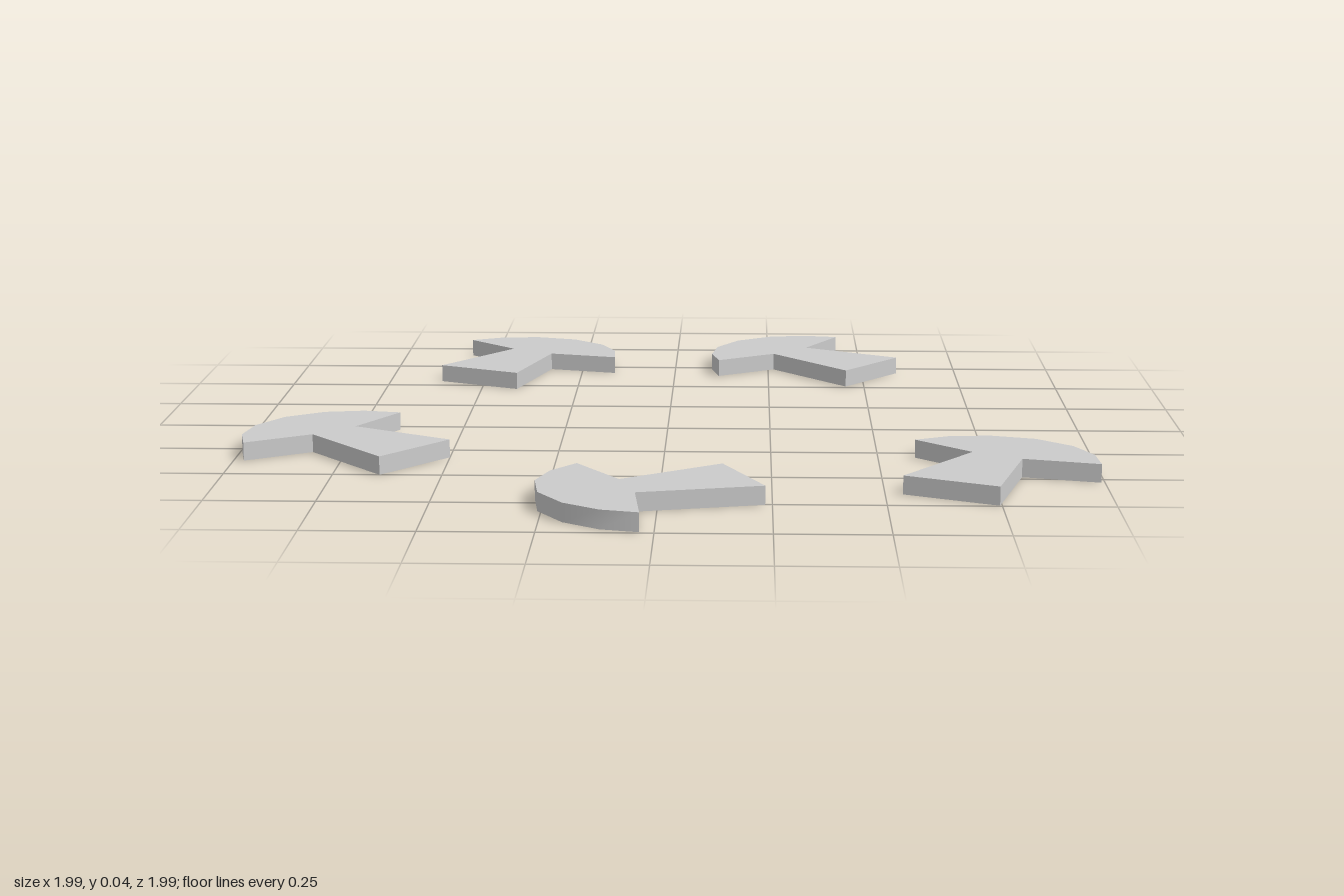
import * as THREE from 'three';
import { mergeGeometries, toCreasedNormals } from 'three/addons/utils/BufferGeometryUtils.js';

const HEIGHT = 0.043;

// mushroom outline, counter-clockwise, origin midway between the cap tips
const OUTLINE = [
  [-0.097, -0.331], [0.129, -0.311],              // stem foot
  [0.06, -0.046], [0.234, 0],                     // right neck and cap tip
  [0.184, 0.077], [0.107, 0.133], [0.003, 0.156], // rounded cap
  [-0.104, 0.131], [-0.185, 0.073],
  [-0.234, 0], [-0.066, -0.043],                  // left cap tip and neck
].map(([x, y]) => new THREE.Vector2(x, y));

// a thin shell: flat top and upright walls, open underneath
function mushroomGeometry() {
  const top = new THREE.ShapeGeometry(new THREE.Shape(OUTLINE)).toNonIndexed();
  top.translate(0, 0, HEIGHT);
  top.deleteAttribute('uv');

  const pos = [];
  OUTLINE.forEach((a, i) => {
    const b = OUTLINE[(i + 1) % OUTLINE.length];
    pos.push(a.x, a.y, 0, b.x, b.y, 0, b.x, b.y, HEIGHT);
    pos.push(a.x, a.y, 0, b.x, b.y, HEIGHT, a.x, a.y, HEIGHT);
  });
  const walls = new THREE.BufferGeometry();
  walls.setAttribute('position', new THREE.Float32BufferAttribute(pos, 3));
  walls.computeVertexNormals();

  const geometry = mergeGeometries([top, walls]);
  geometry.rotateX(-Math.PI / 2);
  return toCreasedNormals(geometry, 0.6);
}

// x, z and clockwise turn in degrees as seen from above
const PLACES = [
  [-0.364, -0.79, 30],
  [0.279, -0.811, -46.5],
  [-0.814, 0.202, -46.2],
  [0.789, 0.412, 30],
  [-0.11, 0.773, -109.7],
];

export function createModel() {
  const group = new THREE.Group();
  group.name = 'mushroomRing';
  const geometry = mushroomGeometry();
  const material = new THREE.MeshStandardMaterial({ color: 0xcccccc, side: THREE.DoubleSide });
  PLACES.forEach(([x, z, turn], i) => {
    const mushroom = new THREE.Mesh(geometry, material);
    mushroom.name = `mushroom${i + 1}`;
    mushroom.position.set(x, 0, z);
    mushroom.rotation.y = -THREE.MathUtils.degToRad(turn);
    group.add(mushroom);
  });
  return group;
}
